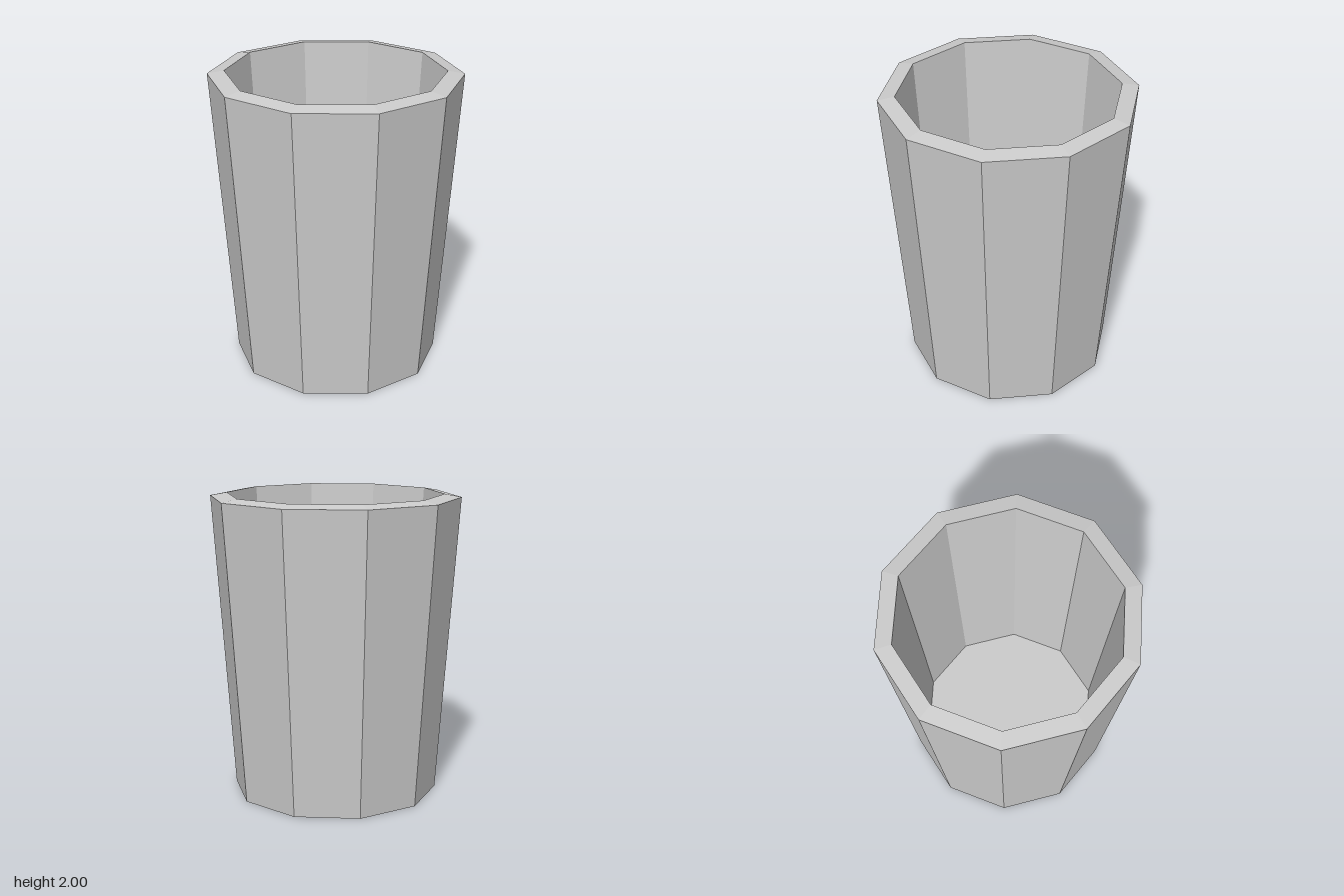
import * as THREE from 'three';

export function createModel() {
  const group = new THREE.Group();
  group.name = 'cup';

  // Profile from the base centre, up the outer wall, over the sloped rim and down to the inner floor
  const profile = [
    [0, 0], [0.685, 0], [0.825, 1.98], [0.715, 2], [0.605, 0.21], [0, 0.21],
  ].map(([r, y]) => new THREE.Vector2(r, y));

  // Ten flat sides with a corner facing the front
  const body = new THREE.Mesh(
    new THREE.LatheGeometry(profile, 10),
    new THREE.MeshStandardMaterial({ color: 0xcccccc, flatShading: true })
  );
  body.name = 'cupBody';
  group.add(body);
  return group;
}
